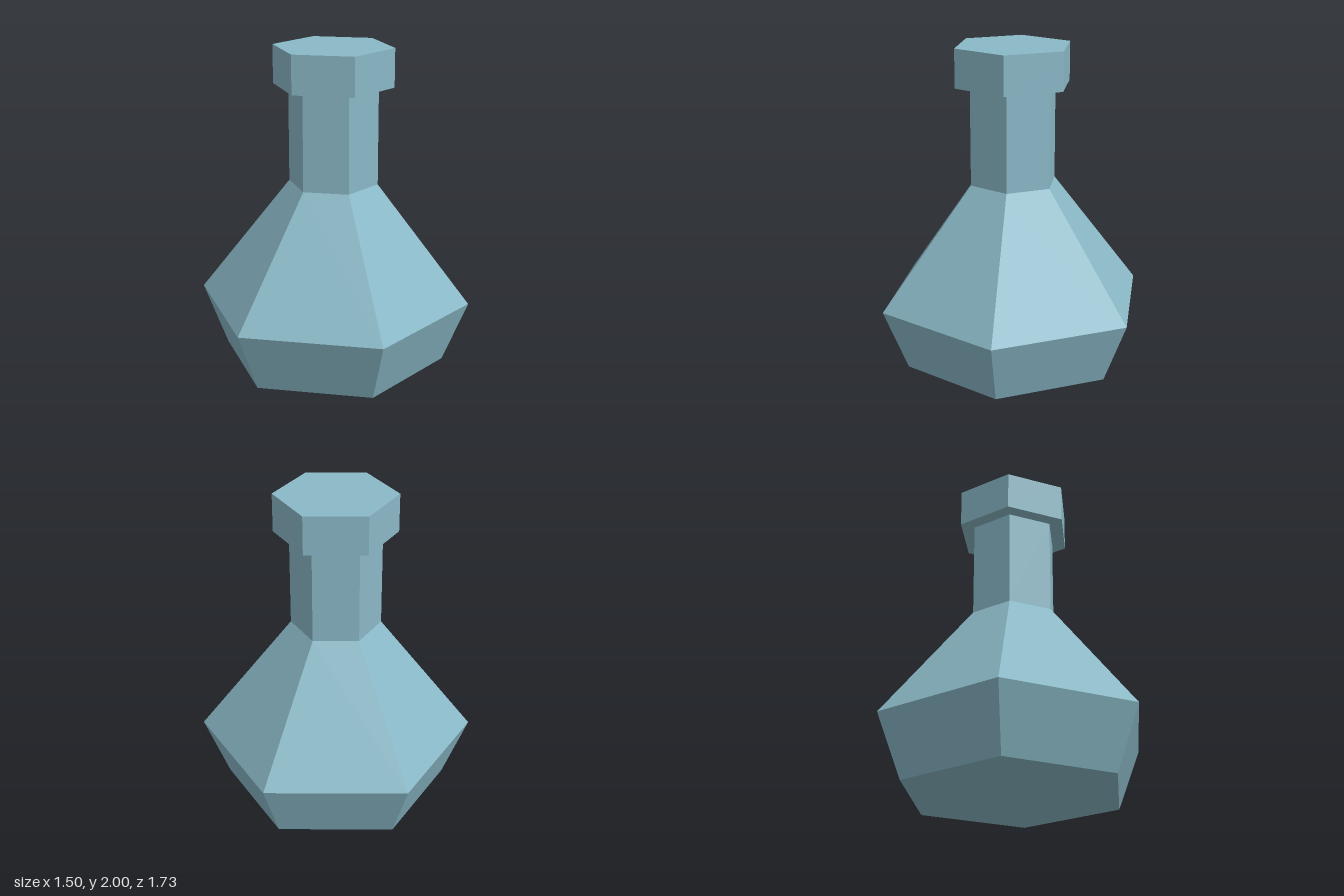
import * as THREE from 'three';

const SIDES = 6;

export function createModel() {
  const group = new THREE.Group();
  group.name = 'flask';
  const glass = new THREE.MeshStandardMaterial({ color: 0x8ab9c7, flatShading: true });

  // Hexagonal section from height y0 to y1, with corners on the z axis
  function section(name, r0, r1, y0, y1, open = false) {
    const geometry = new THREE.CylinderGeometry(r1, r0, y1 - y0, SIDES, 1, open);
    geometry.translate(0, (y0 + y1) / 2, 0);
    const mesh = new THREE.Mesh(geometry, glass);
    mesh.name = name;
    group.add(mesh);
  }

  // Flared base and sloping shoulder, closed underneath
  const profile = [[0, 0], [0.71, 0], [0.866, 0.39], [0.28, 1.147]];
  const body = new THREE.Mesh(
    new THREE.LatheGeometry(profile.map(([r, y]) => new THREE.Vector2(r, y)), SIDES),
    glass
  );
  body.name = 'body';
  group.add(body);

  // Straight neck and the wider lip that caps it
  section('neck', 0.28, 0.28, 1.147, 1.76, true);
  section('lip', 0.375, 0.375, 1.76, 2);

  return group;
}
